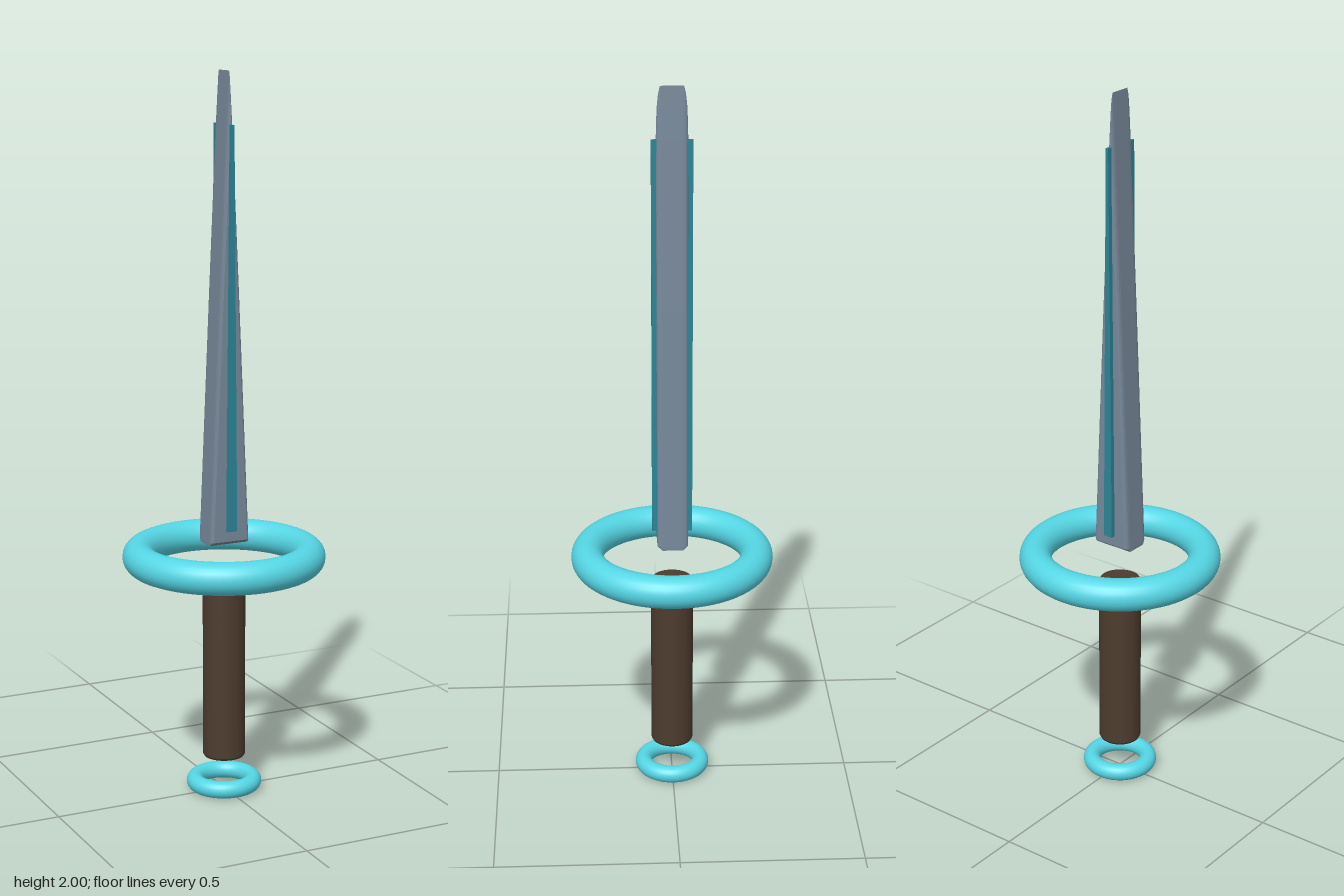
import * as THREE from 'three';

const CORE = 0.029;   // half depth of the blade's flat edge band
const BEVEL = 0.008;  // how far the bevel eats into the width
const ARC = 3;        // bevel steps per corner

const mat = (color, extra = {}) =>
  new THREE.MeshStandardMaterial({ color, roughness: 0.6, ...extra });

function add(group, name, geometry, material, y = 0) {
  const mesh = new THREE.Mesh(geometry, material);
  mesh.name = name;
  mesh.position.y = y;
  group.add(mesh);
  return mesh;
}

// Bevelled rectangle section; the bevels meet where the blade gets thin
function bladeSection(y, w, depth) {
  const aMax = Math.acos(Math.max(0, 1 - w / BEVEL));
  const corner = [];
  for (let i = 0; i <= ARC; i++) {
    const a = (aMax * i) / ARC;
    corner.push([w - BEVEL * (1 - Math.cos(a)), CORE + (depth - CORE) * Math.sin(a)]);
  }
  const back = [...corner].reverse();
  return [
    ...corner.map(([x, z]) => [x, y, z]),
    ...back.map(([x, z]) => [-x, y, z]),
    ...corner.map(([x, z]) => [-x, y, -z]),
    ...back.map(([x, z]) => [x, y, -z]),
  ];
}

function bladeGeometry() {
  const rows = [
    [0.72, 0.058, CORE], [0.73, 0.058, 0.042], [1.4, 0.029, 0.042], [1.86, 0.008, 0.042],
    [1.9, 0.0057, 0.042], [1.95, 0.0029, 0.042], [1.98, 0.0012, 0.042], [2, 0.0001, 0.042],
  ].map((r) => bladeSection(...r));
  const n = rows[0].length;
  const pos = rows.flat(2);
  const index = [];
  for (let r = 0; r < rows.length - 1; r++) {
    for (let i = 0; i < n; i++) {
      const a = r * n + i, b = r * n + ((i + 1) % n);
      index.push(a, a + n, b, b, a + n, b + n);
    }
  }
  // End caps
  const top = (rows.length - 1) * n;
  for (let i = 1; i < n - 1; i++) {
    index.push(0, i, i + 1, top, top + i + 1, top + i);
  }
  const g = new THREE.BufferGeometry();
  g.setAttribute('position', new THREE.Float32BufferAttribute(pos, 3));
  g.setIndex(index);
  const flat = g.toNonIndexed();
  flat.computeVertexNormals();
  return flat;
}

// Long bar narrowing towards the top
function inlayGeometry() {
  const g = new THREE.BoxGeometry(1, 1.1, 0.019).toNonIndexed();
  const p = g.attributes.position;
  for (let i = 0; i < p.count; i++) {
    p.setX(i, p.getX(i) * (p.getY(i) > 0 ? 0.008 : 0.027));
  }
  g.computeVertexNormals();
  return g;
}

const ring = (R, r) => new THREE.TorusGeometry(R, r, 24, 64).rotateX(Math.PI / 2);

export function createModel() {
  const model = new THREE.Group();
  model.name = 'sword';
  const cyan = mat(0x55d6e4);

  // Blade with a raised inlay on each face
  add(model, 'blade', bladeGeometry(), mat(0x778899, { flatShading: true }));
  const teal = mat(0x2c8596, { flatShading: true });
  for (const side of [1, -1]) {
    const inlay = add(model, side > 0 ? 'frontInlay' : 'backInlay', inlayGeometry(), teal, 1.31);
    inlay.position.z = side * 0.0455;
  }

  // Floating guard and pommel rings
  add(model, 'guardRing', ring(0.235, 0.045), cyan, 0.68);
  add(model, 'pommelRing', ring(0.081, 0.024), cyan, 0.026);

  // Grip with softened rims
  const profile = [
    [0, 0.1], [0.05, 0.1], [0.05, 0.1], [0.056, 0.102], [0.059, 0.108],
    [0.059, 0.108], [0.059, 0.602], [0.059, 0.602], [0.056, 0.608], [0.05, 0.61], [0.05, 0.61], [0, 0.61],
  ].map(([x, y]) => new THREE.Vector2(x, y));
  add(model, 'grip', new THREE.LatheGeometry(profile, 40), mat(0x4d3c2e));

  return model;
}
